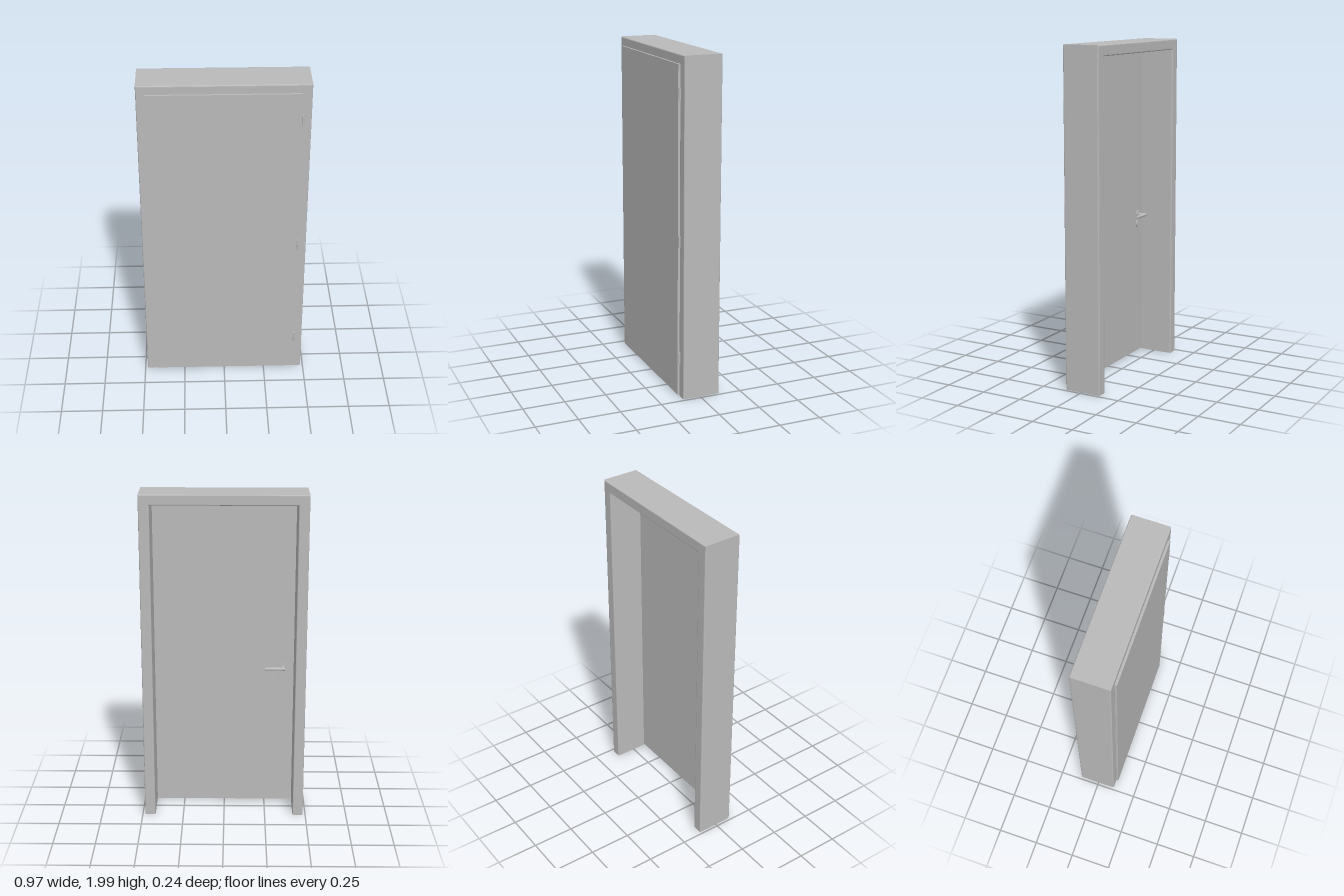
import * as THREE from 'three';

const paint = new THREE.MeshStandardMaterial({ color: 0xbababa, side: THREE.DoubleSide });
paint.name = 'grey paint';

const HALF_W = 0.422, OPEN_H = 1.928;  // clear opening
const FACE = 0.063;                    // width of the frame seen from front or back
const BACK = -0.12, FRONT = 0.106;     // frame depth
const LEAF_BACK = 0.083;

function add(group, name, geometry, x = 0, y = 0, z = 0) {
  const mesh = new THREE.Mesh(geometry, paint);
  mesh.name = name;
  mesh.position.set(x, y, z);
  group.add(mesh);
  return mesh;
}

// Box given by its limits
function block(group, name, x0, x1, y0, y1, z0, z1) {
  return add(group, name, new THREE.BoxGeometry(x1 - x0, y1 - y0, z1 - z0),
    (x0 + x1) / 2, (y0 + y1) / 2, (z0 + z1) / 2);
}

// Cylinder lying along z between two depths
function rod(group, name, r, x, y, z0, z1) {
  const geometry = new THREE.CylinderGeometry(r, r, z1 - z0, 24).rotateX(Math.PI / 2);
  return add(group, name, geometry, x, y, (z0 + z1) / 2);
}

// Hollow rounded section swept up one jamb, over the head and down the other, mitred
function frameGeometry() {
  const r = 0.007, steps = 4, profile = [];
  const corners = [[FACE - r, BACK + r], [FACE - r, FRONT - r], [r, FRONT - r], [r, BACK + r]];
  corners.forEach(([d, z], c) => {
    for (let s = 0; s <= steps; s++) {
      const a = (c - 1 + s / steps) * Math.PI / 2;
      profile.push([d + r * Math.cos(a), z + r * Math.sin(a)]);
    }
  });
  const path = ([d, z]) => [
    [-HALF_W - d, 0, z], [-HALF_W - d, OPEN_H + d, z],
    [HALF_W + d, OPEN_H + d, z], [HALF_W + d, 0, z],
  ];
  const positions = [];
  profile.forEach((point, i) => {
    const p = path(point), q = path(profile[(i + 1) % profile.length]);
    for (let k = 0; k < 3; k++) {
      positions.push(...p[k], ...q[k], ...q[k + 1], ...p[k], ...q[k + 1], ...p[k + 1]);
    }
  });
  const geometry = new THREE.BufferGeometry();
  geometry.setAttribute('position', new THREE.Float32BufferAttribute(positions, 3));
  geometry.computeVertexNormals();
  return geometry;
}

export function createModel() {
  const model = new THREE.Group();
  model.name = 'door';

  add(model, 'frame', frameGeometry());

  // Rebated leaf: body inside the opening, lip overlapping the frame
  const leaf = new THREE.Group();
  leaf.name = 'leaf';
  model.add(leaf);
  block(leaf, 'leafBody', -0.42, 0.42, 0.01, 1.926, LEAF_BACK, 0.108);
  block(leaf, 'leafLip', -0.432, 0.43, 0.01, 1.94, 0.108, 0.12);

  // Hinge barrels
  for (const y of [0.238, 0.94, 1.775]) {
    add(model, 'hinge', new THREE.CylinderGeometry(0.007, 0.007, 0.066, 16), 0.437, y, 0.113);
  }

  // Lever handle and lock rose on the back
  const handle = new THREE.Group();
  handle.name = 'handle';
  model.add(handle);
  const hx = -0.355, hy = 0.9;
  rod(handle, 'handleRose', 0.024, hx, hy, LEAF_BACK - 0.006, LEAF_BACK);
  rod(handle, 'lockRose', 0.024, hx, hy - 0.06, LEAF_BACK - 0.006, LEAF_BACK);
  rod(handle, 'handleNeck', 0.009, hx, hy, LEAF_BACK - 0.05, LEAF_BACK);
  const lever = new THREE.CylinderGeometry(0.01, 0.01, 0.12, 20).rotateZ(Math.PI / 2);
  add(handle, 'lever', lever, hx + 0.05, hy, LEAF_BACK - 0.05);

  return model;
}
